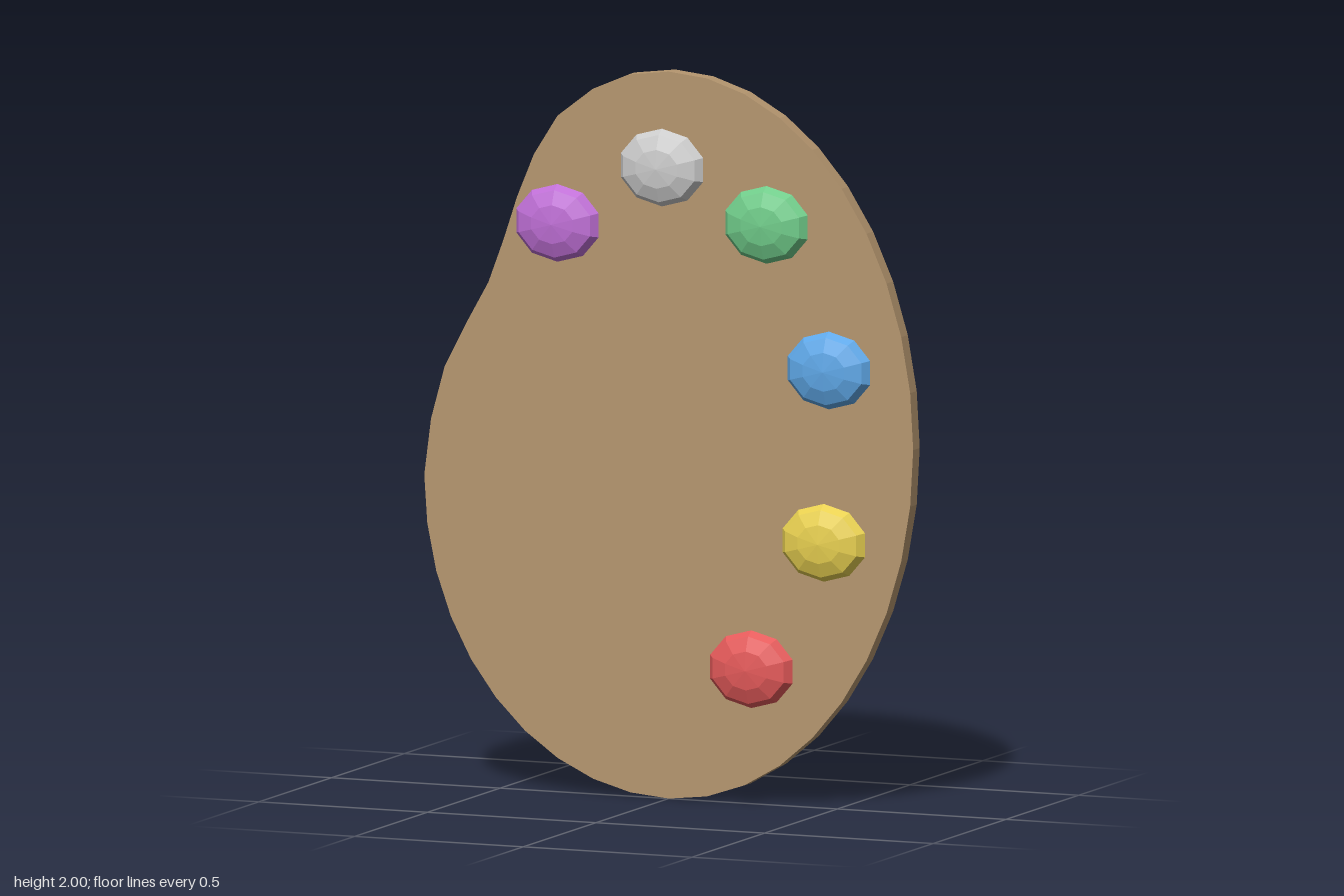
import * as THREE from 'three';

const DEPTH = 0.045;

function paint(color) {
  return new THREE.MeshStandardMaterial({ color, flatShading: true });
}

// Quarter of an ellipse, sampled from angle a (degrees) in 9 degree steps
function quarter(a, cy, ry) {
  return Array.from({ length: 10 }, (_, i) => {
    const t = THREE.MathUtils.degToRad(a + i * 9);
    return new THREE.Vector2(0.725 * Math.cos(t), cy + ry * Math.sin(t));
  });
}

// Flat board: oval with a shallow thumb hollow on the upper right-hand side
function createBoard() {
  const hollow = [
    [0, 2], [-0.12, 1.985], [-0.225, 1.94], [-0.33, 1.86], [-0.4, 1.75], [-0.45, 1.63],
    [-0.49, 1.51], [-0.535, 1.39], [-0.6, 1.275], [-0.665, 1.15], [-0.705, 1.005],
  ].map(([x, y]) => new THREE.Vector2(x, y));
  const outline = [
    ...quarter(0, 1, 1),
    ...hollow,
    ...quarter(180, 0.85, 0.85),
    ...quarter(270, 1, 1),
  ];
  const geometry = new THREE.ExtrudeGeometry(new THREE.Shape(outline), {
    depth: DEPTH, bevelEnabled: false,
  });
  geometry.translate(0, 0, -DEPTH);
  const board = new THREE.Mesh(geometry, paint(0xb5966f));
  board.name = 'board';
  return board;
}

// Faceted half-dome of paint, pole facing forward
function createDab(name, x, y, color) {
  const geometry = new THREE.SphereGeometry(0.107, 10, 3, 0, Math.PI * 2, 0, Math.PI / 2);
  geometry.rotateX(Math.PI / 2);
  geometry.rotateZ(Math.PI / 2);
  geometry.scale(1.2, 1, DEPTH / 0.107);
  const dab = new THREE.Mesh(geometry, paint(color));
  dab.name = name;
  dab.position.set(x, y, 0);
  return dab;
}

export function createModel() {
  const palette = new THREE.Group();
  palette.name = 'paintPalette';
  palette.add(createBoard());
  const dabs = [
    ['purplePaint', -0.33, 1.565, 0xbf6fd6],
    ['greyPaint', -0.02, 1.735, 0xcccccc],
    ['greenPaint', 0.29, 1.595, 0x70cc8a],
    ['bluePaint', 0.475, 1.205, 0x5fa8e8],
    ['yellowPaint', 0.46, 0.73, 0xe8d050],
    ['redPaint', 0.245, 0.37, 0xe55a5a],
  ];
  for (const dab of dabs) palette.add(createDab(...dab));
  return palette;
}
